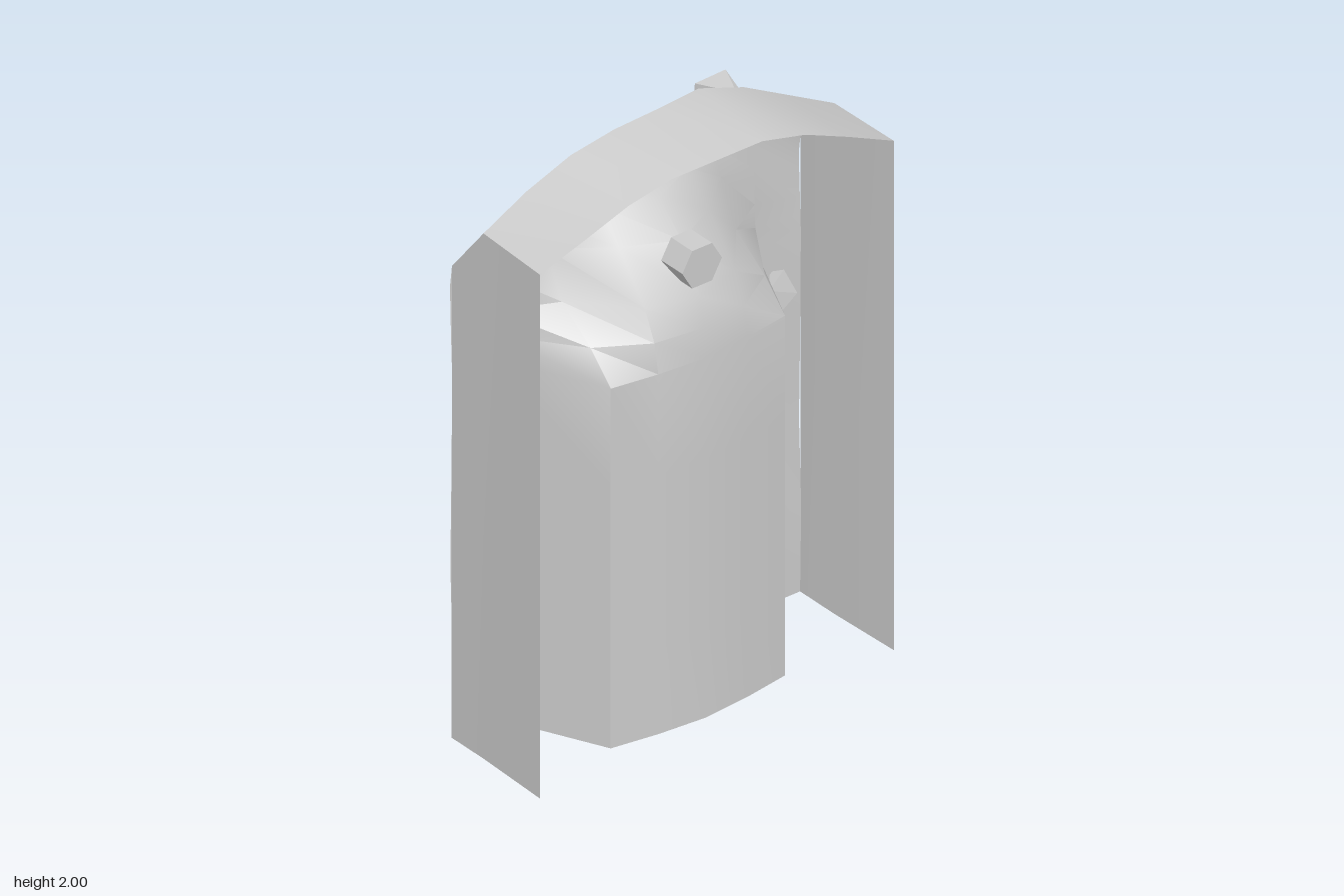
import * as THREE from 'three';
import { toCreasedNormals } from 'three/addons/utils/BufferGeometryUtils.js';
import { ConvexGeometry } from 'three/addons/geometries/ConvexGeometry.js';

const stone = new THREE.MeshStandardMaterial({ color: 0xcccccc, side: THREE.DoubleSide });
const facetedStone = new THREE.MeshStandardMaterial({ color: 0xcccccc, flatShading: true });

// Open surface through rows of [x, y, z] points
function surface(name, rows, crease = 0.6) {
  const n = rows[0].length, index = [];
  for (let r = 0; r < rows.length - 1; r++) {
    for (let c = 0; c < n - 1; c++) {
      const a = r * n + c, b = a + 1, d = a + n, e = d + 1;
      index.push(a, b, d, b, e, d);
    }
  }
  const geo = new THREE.BufferGeometry();
  geo.setAttribute('position', new THREE.Float32BufferAttribute(rows.flat(2), 3));
  geo.setIndex(index);
  const mesh = new THREE.Mesh(toCreasedNormals(geo, crease), stone);
  mesh.name = name;
  return mesh;
}

function shard(name, points) {
  const mesh = new THREE.Mesh(new ConvexGeometry(points.map(p => new THREE.Vector3(...p))), facetedStone);
  mesh.name = name;
  return mesh;
}

export function createModel() {
  const group = new THREE.Group();
  group.name = 'wallFountain';

  // Arch stations: x, back edge height, ridge height, ridge z, lip height
  const arch = [
    [-0.66, 1.82, 1.825, 0.17, 1.64],
    [-0.49, 1.875, 1.9, 0.16, 1.71],
    [-0.33, 1.93, 1.97, 0.17, 1.78],
    [-0.17, 1.96, 2.0, 0.175, 1.8],
    [0, 1.96, 2.0, 0.165, 1.8],
    [0.17, 1.96, 2.0, 0.15, 1.8],
    [0.33, 1.92, 1.95, 0.165, 1.77],
    [0.49, 1.85, 1.865, 0.172, 1.69],
    [0.66, 1.77, 1.775, 0.18, 1.59],
  ];
  const rim = y => 0.018 + 0.006 * Math.sin(y * 7);
  const lipZ = x => 0.015 + 0.006 * Math.cos(x * 9);

  // Roof and sloping front bevel
  const roofEdge = arch.map(([x, yb]) => [x * 1.015, yb, 0.45]);
  const ridge = arch.map(([x, , yr, zr]) => [x, yr, zr]);
  const lip = arch.map(([x, , , , yl]) => [x, yl, lipZ(x)]);
  group.add(surface('roof', [roofEdge, ridge]));
  group.add(surface('archBevel', [ridge, lip]));

  // Outer side walls
  for (const i of [0, arch.length - 1]) {
    const [x, , , zr] = arch[i];
    const top = [roofEdge[i], ridge[i], lip[i]];
    const foot = [[x * 1.015, 0, 0.45], [x, 0, zr], [x, 0, rim(0)]];
    group.add(surface(x < 0 ? 'rightSideWall' : 'leftSideWall', [foot, top]));
  }

  // Pilasters, niche and its half dome in one smooth sheet
  const depths = [0, 0, 0.36, 0.385, 0.4, 0.385, 0.36, 0, 0];
  const fractions = [0, 0.18, 0.36, 0.64, 0.82, 1];
  const centreFade = [1, 0.97, 0.92, 0.7, 0.42, 0];
  const innerFade = [1, 0.95, 0.83, 0.5, 0.24, 0];
  const cornerFade = [1, 0.72, 0.33, 0.12, 0.04, 0];
  const fades = [cornerFade, cornerFade, cornerFade, innerFade, centreFade,
    innerFade, cornerFade, cornerFade, cornerFade];
  const wall = [0, 0.3, 0.6, 0.9].map(y =>
    arch.map(([x], c) => [x, y, depths[c] || rim(y)]));
  fractions.forEach((f, k) => wall.push(arch.map(([x, , , , yl], c) => {
    const y = 1.25 + f * (yl - 1.25);
    const front = f === 1 ? lipZ(x) : rim(y);
    return [x, y, depths[c] ? front + (depths[c] - front) * fades[c][k] : front];
  })));
  group.add(surface('nicheWall', wall, 0.7));

  // Basin block with a raised back, extruded across x
  const profile = [[0.445, 0], [0.44, 0.16], [0.38, 0.35], [0.15, 0.31], [-0.02, 0.36],
    [-0.33, 0.74], [-0.36, 0.67], [-0.37, 0]];
  const basinGeo = new THREE.ExtrudeGeometry(
    new THREE.Shape(profile.map(p => new THREE.Vector2(...p))), { depth: 0.48, bevelEnabled: false });
  basinGeo.translate(0, 0, -0.24).rotateY(Math.PI / 2);
  const basin = new THREE.Mesh(basinGeo, facetedStone);
  basin.name = 'basin';
  group.add(basin);

  // Hexagonal spout with flange
  const spout = new THREE.Group();
  spout.name = 'spout';
  const flangeGeo = new THREE.CylinderGeometry(0.075, 0.075, 0.1, 6);
  flangeGeo.rotateY(Math.PI / 6).rotateX(Math.PI / 2);
  const flange = new THREE.Mesh(flangeGeo, facetedStone);
  flange.name = 'spoutFlange';
  flange.position.set(0, 1.56, 0.33);
  const path = new THREE.CatmullRomCurve3([[1.56, 0.33], [1.57, 0.23], [1.55, 0.165], [1.48, 0.125]]
    .map(([y, z]) => new THREE.Vector3(0, y, z)));
  const pipe = new THREE.Mesh(new THREE.TubeGeometry(path, 6, 0.038, 6), facetedStone);
  pipe.name = 'spoutPipe';
  const tip = new THREE.Mesh(new THREE.CircleGeometry(0.038, 6), stone);
  tip.name = 'spoutTip';
  tip.position.copy(path.getPoint(1));
  tip.lookAt(tip.position.clone().add(path.getTangent(1)));
  spout.add(flange, pipe, tip);
  group.add(spout);

  // Broken stone shards set in the arch and the left pilaster
  group.add(shard('archShard', [[0.265, 1.76, 0.0], [0.26, 1.92, 0.02], [0.38, 1.92, 0.015],
    [0.395, 1.69, 0.06], [0.355, 1.89, 0.145], [0.32, 1.73, 0.08], [0.335, 1.91, 0.125]]));
  group.add(shard('pilasterShard', [[0.445, 1.06, 0.06], [0.5, 1.13, 0.07], [0.565, 1.175, 0.06],
    [0.6, 1.09, 0.08], [0.47, 1.0, 0.08], [0.55, 1.15, 0.012], [0.5, 1.06, 0.03]]));

  return group;
}
